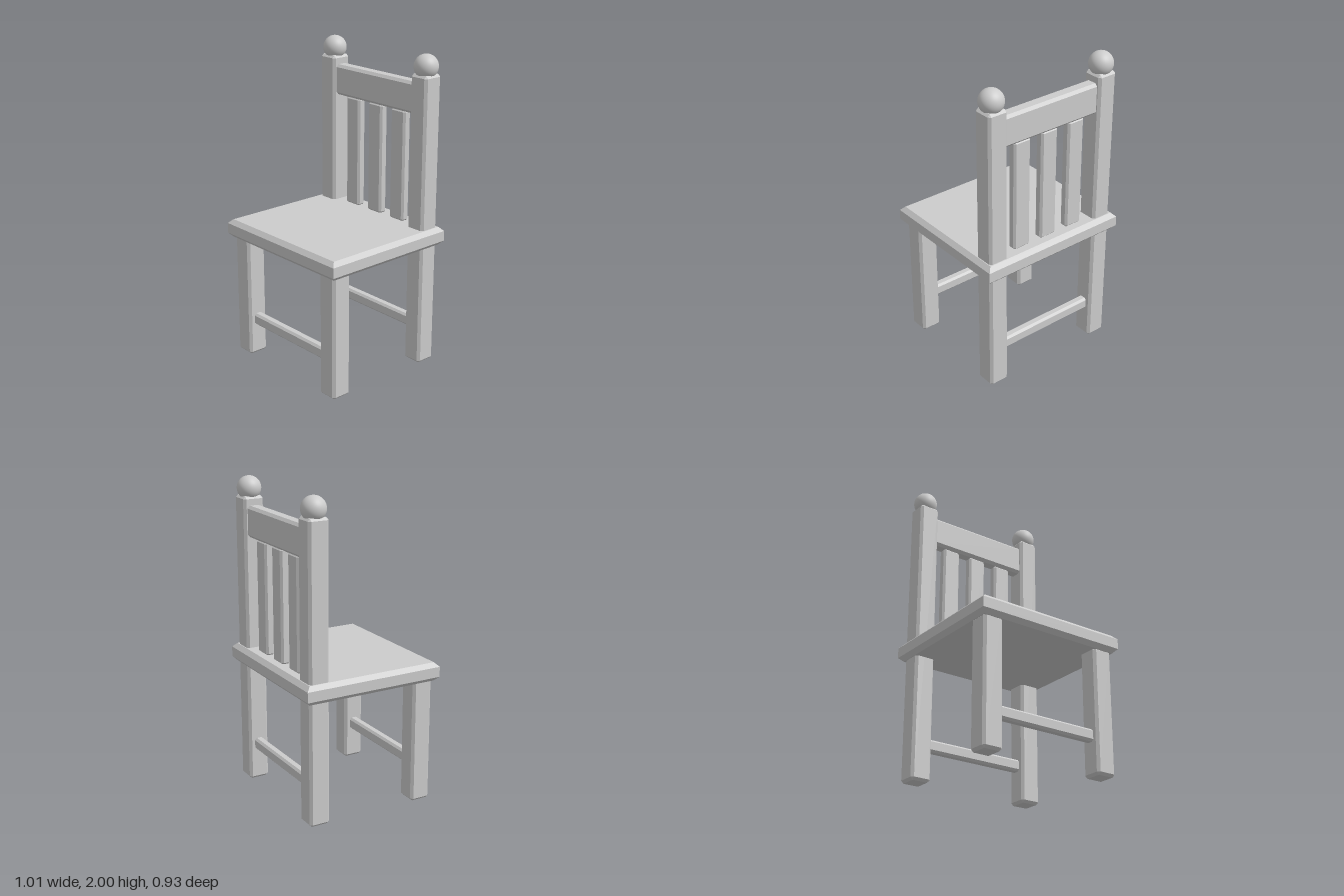
import * as THREE from 'three';
import { ConvexGeometry } from 'three/addons/geometries/ConvexGeometry.js';

// Box with every edge chamfered by c
function chamferBox(w, h, d, c) {
  const points = [];
  for (const sx of [-1, 1]) for (const sy of [-1, 1]) for (const sz of [-1, 1]) {
    const x = w / 2, y = h / 2, z = d / 2;
    points.push(
      new THREE.Vector3(sx * x, sy * (y - c), sz * (z - c)),
      new THREE.Vector3(sx * (x - c), sy * y, sz * (z - c)),
      new THREE.Vector3(sx * (x - c), sy * (y - c), sz * z));
  }
  return new ConvexGeometry(points);
}

// Slab chamfered only around its top and bottom rims, with mitred corners
function seatSlab(w, h, d, c) {
  const points = [];
  for (const sx of [-1, 1]) for (const sy of [-1, 1]) for (const sz of [-1, 1]) {
    points.push(
      new THREE.Vector3(sx * w / 2, sy * (h / 2 - c), sz * d / 2),
      new THREE.Vector3(sx * (w / 2 - c), sy * h / 2, sz * (d / 2 - c)));
  }
  return new ConvexGeometry(points);
}

export function createModel() {
  const chair = new THREE.Group();
  chair.name = 'chair';

  const wood = new THREE.MeshStandardMaterial({ color: 0xcccccc });
  wood.name = 'light grey';

  function add(name, geometry, x, y, z) {
    const mesh = new THREE.Mesh(geometry, wood);
    mesh.name = name;
    mesh.position.set(x, y, z);
    chair.add(mesh);
  }
  // Chamfered bar standing between heights y0 and y1
  const bar = (name, w, y0, y1, d, c, x, z) =>
    add(name, chamferBox(w, y1 - y0, d, c), x, (y0 + y1) / 2, z);

  const legX = 0.408, legZ = 0.363, legSize = 0.134;

  add('seat', seatSlab(1.015, 0.119, 0.925, 0.027), 0, 0.85, 0);

  // Legs, back posts and ball finials
  for (const [side, s] of [['left', 1], ['right', -1]]) {
    bar(side + 'FrontLeg', legSize, 0, 0.805, legSize, 0.016, s * legX, legZ);
    bar(side + 'BackPost', legSize, 0, 1.88, legSize, 0.016, s * legX, -legZ);
    add(side + 'Finial', new THREE.SphereGeometry(0.076, 32, 20), s * legX, 1.924, -legZ);
  }

  // Stretchers between the legs
  bar('frontStretcher', 0.72, 0.207, 0.284, 0.06, 0.013, 0, legZ);
  bar('backStretcher', 0.72, 0.207, 0.284, 0.06, 0.013, 0, -legZ);

  // Backrest
  bar('topRail', 0.72, 1.626, 1.824, 0.09, 0.017, 0, -legZ);
  for (const x of [-0.204, 0, 0.204]) {
    bar('backSlat', 0.122, 0.906, 1.63, 0.06, 0.013, x, -legZ);
  }

  return chair;
}
